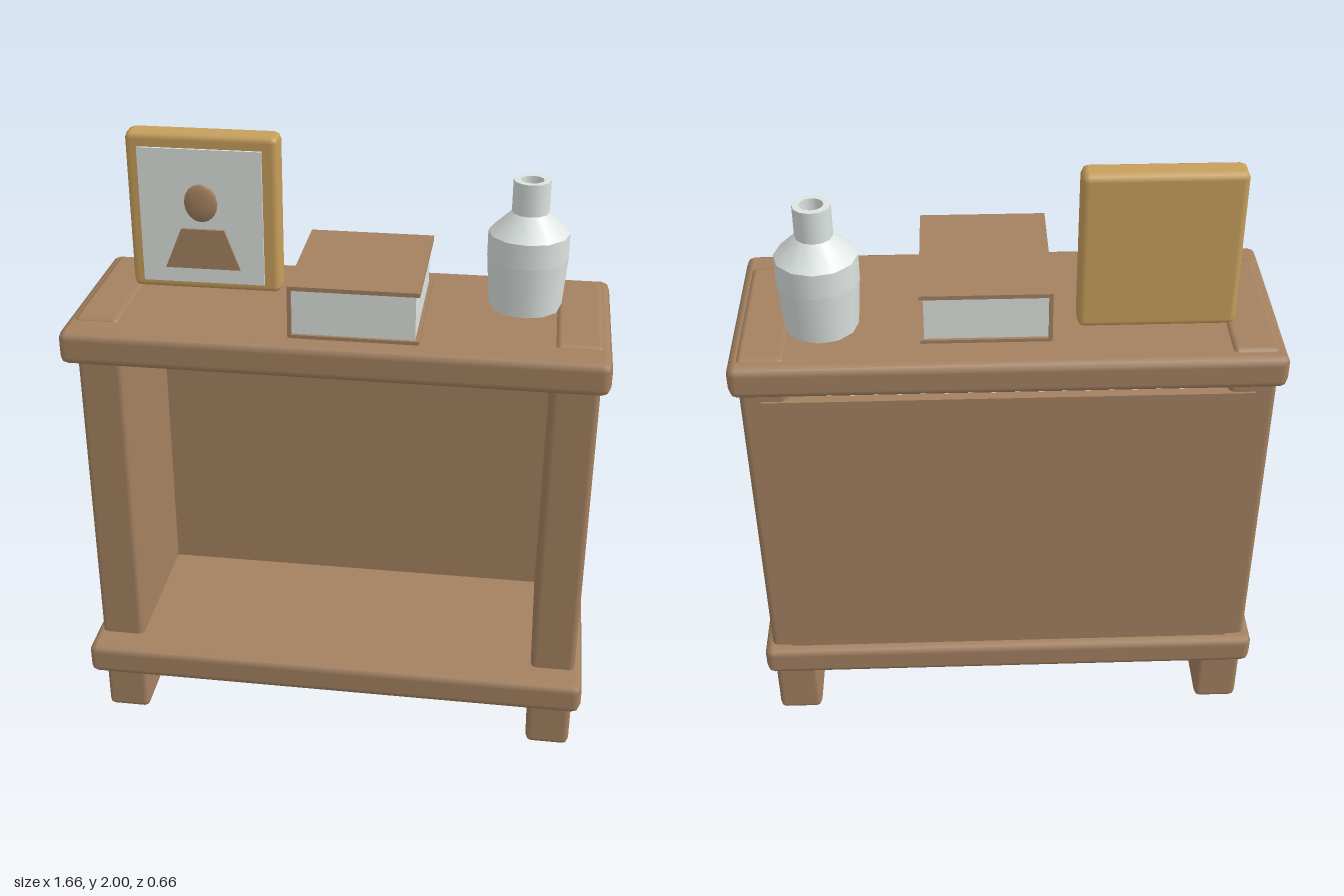
import * as THREE from 'three';
import { RoundedBoxGeometry } from 'three/addons/geometries/RoundedBoxGeometry.js';

export function createModel() {
  const group = new THREE.Group();
  const material = (name, color, extra = {}) => {
    const m = new THREE.MeshStandardMaterial({ color, ...extra });
    m.name = name;
    return m;
  };
  const wood = material('wood', 0xa58261);
  const gold = material('gilded wood', 0xc8a05c);
  const pale = material('pale ceramic and paper', 0xdde4e0);

  const add = (name, geometry, mat, parent = group) => {
    const mesh = new THREE.Mesh(geometry, mat);
    mesh.name = name;
    parent.add(mesh);
    return mesh;
  };
  // Box given by its limits on each axis; a bevel chamfers the edges
  const box = (name, [x0, x1], [y0, y1], [z0, z1], mat, bevel = 0, parent = group) => {
    const size = [x1 - x0, y1 - y0, z1 - z0];
    const geometry = bevel
      ? new RoundedBoxGeometry(...size, 1, bevel)
      : new THREE.BoxGeometry(...size);
    const mesh = add(name, geometry, mat, parent);
    mesh.position.set((x0 + x1) / 2, (y0 + y1) / 2, (z0 + z1) / 2);
    return mesh;
  };

  // Shelf unit
  box('topBoard', [-0.83, 0.83], [1.38, 1.49], [-0.33, 0.33], wood, 0.028);
  box('lowerShelf', [-0.83, 0.83], [0.215, 0.325], [-0.33, 0.33], wood, 0.028);
  for (const side of [-1, 1]) {
    const x = [0.66 * side, 0.805 * side].sort((a, b) => a - b);
    box(side > 0 ? 'leftUpright' : 'rightUpright', x, [0.005, 1.5], [-0.295, 0.235], wood, 0.02);
  }
  box('backPanel', [-0.74, 0.74], [0.27, 1.35], [-0.302, -0.27], wood);

  // Picture frame
  const picture = new THREE.Group();
  picture.name = 'pictureFrame';
  group.add(picture);
  box('frame', [-0.69, -0.21], [1.49, 2.0], [-0.145, -0.055], gold, 0.022, picture);
  box('photo', [-0.65, -0.26], [1.52, 1.955], [-0.056, -0.047], pale, 0, picture);
  const head = add('portraitHead', new THREE.SphereGeometry(0.056, 10, 8), wood, picture);
  head.scale.set(0.95, 1.1, 0.22);
  head.position.set(-0.454, 1.785, -0.044);
  const bust = new THREE.Shape([
    [-0.575, 1.57], [-0.335, 1.57], [-0.383, 1.7], [-0.52, 1.7],
  ].map(([x, y]) => new THREE.Vector2(x, y)));
  add('portraitShoulders', new THREE.ExtrudeGeometry(bust, { depth: 0.009, bevelEnabled: false }), wood, picture)
    .position.z = -0.047;

  // Book with its spine on -x
  const book = new THREE.Group();
  book.name = 'book';
  group.add(book);
  for (const [name, y] of [['bottomCover', 1.488], ['topCover', 1.642]]) {
    box(name, [-0.132, 0.262], [y, y + 0.013], [-0.21, 0.27], wood, 0, book);
  }
  box('spine', [-0.132, -0.12], [1.501, 1.642], [-0.21, 0.27], wood, 0, book);
  box('pages', [-0.12, 0.25], [1.501, 1.642], [-0.2, 0.26], pale, 0, book);

  // Hollow bottle vase, outside then inside
  const profile = [
    [0, 1.488], [0.113, 1.488], [0.125, 1.65], [0.125, 1.73], [0.057, 1.795], [0.057, 1.895],
    [0.036, 1.895], [0.036, 1.76], [0, 1.76],
  ];
  // Double the inner points so the rims stay crisp
  const points = profile.flatMap(([r, y], i) =>
    (i === 0 || i === profile.length - 1 ? [0] : [0, 1]).map(() => new THREE.Vector2(r, y)));
  // Each section is its own lathe: smooth around, sharp between sections
  const vase = new THREE.Group();
  vase.name = 'vase';
  vase.position.set(0.562, 0, -0.085);
  group.add(vase);
  const parts = ['vaseBase', 'vaseBody', 'vaseBelly', 'vaseShoulder', 'vaseNeck', 'vaseRim', 'vaseBore', 'vaseFloor'];
  parts.forEach((name, i) =>
    add(name, new THREE.LatheGeometry(points.slice(i * 2, i * 2 + 2), 12), pale, vase));

  return group;
}
